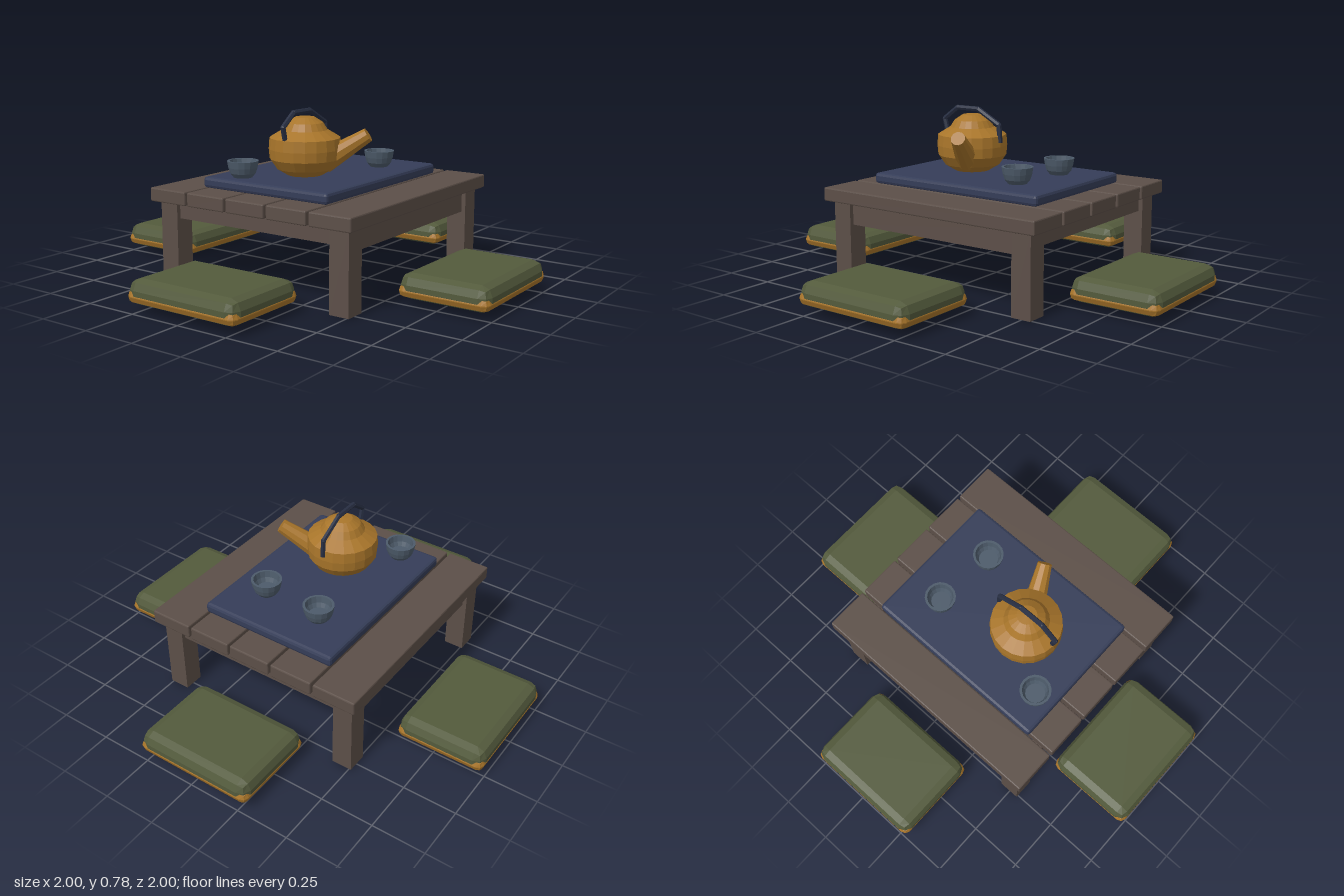
import * as THREE from 'three';
import { RoundedBoxGeometry } from 'three/addons/geometries/RoundedBoxGeometry.js';

const paint = (name, color) => Object.assign(new THREE.MeshStandardMaterial({ color }), { name });

// Split shared vertices so every facet stays crisp
function faceted(geometry) {
  const g = geometry.index ? geometry.toNonIndexed() : geometry;
  g.computeVertexNormals();
  return g;
}

function add(parent, name, geometry, material, x = 0, y = 0, z = 0) {
  const mesh = new THREE.Mesh(geometry, material);
  mesh.name = name;
  mesh.position.set(x, y, z);
  parent.add(mesh);
  return mesh;
}

const box = (w, h, d) => new THREE.BoxGeometry(w, h, d);
const chamferBox = (w, h, d, c) => faceted(new RoundedBoxGeometry(w, h, d, 1, c));
const lathe = (profile, sides) =>
  faceted(new THREE.LatheGeometry(profile.map(([r, y]) => new THREE.Vector2(r, y)), sides));

// Tapered rod between two points
function rod(parent, name, material, from, to, r0, r1, sides) {
  const a = new THREE.Vector3(...from), b = new THREE.Vector3(...to);
  const dir = b.clone().sub(a);
  const mesh = add(parent, name, faceted(new THREE.CylinderGeometry(r1, r0, dir.length(), sides)), material);
  mesh.position.copy(a).add(b).multiplyScalar(0.5);
  mesh.quaternion.setFromUnitVectors(new THREE.Vector3(0, 1, 0), dir.normalize());
}

function group(parent, name, x = 0, y = 0, z = 0) {
  const g = new THREE.Group();
  g.name = name;
  g.position.set(x, y, z);
  parent.add(g);
  return g;
}

export function createModel() {
  const wood = paint('dark wood', 0x5c4f48);
  const navy = paint('navy lacquer', 0x353d58);
  const iron = paint('dark handle', 0x272e42);
  const green = paint('olive fabric', 0x535a3c);
  const gold = paint('ochre', 0xa8752a);
  const clay = paint('blue grey clay', 0x4d5b6a);

  const model = new THREE.Group();
  model.name = 'teaTable';

  // Table: five planks, four legs, four aprons
  const table = group(model, 'table');
  for (let i = -2; i <= 2; i++) {
    add(table, 'plank', chamferBox(1.16, 0.063, 0.206, 0.006), wood, 0, 0.397, i * 0.219);
  }
  for (const s of [-1, 1]) {
    for (const t of [-1, 1]) add(table, 'leg', box(0.095, 0.367, 0.095), wood, s * 0.496, 0.1835, t * 0.462);
    add(table, 'longApron', box(0.9, 0.105, 0.055), wood, 0, 0.3145, s * 0.462);
    add(table, 'sideApron', box(0.055, 0.075, 0.83), wood, s * 0.496, 0.3295, 0);
  }

  // Tray
  add(model, 'tray', chamferBox(0.905, 0.05, 0.675, 0.014), navy, 0, 0.455, 0);

  // Cushions: one on each side, facing the table
  for (let i = 0; i < 4; i++) {
    const angle = i * Math.PI / 2;
    const cushion = group(model, 'cushion', 0.788 * Math.sin(angle), 0, 0.788 * Math.cos(angle));
    cushion.rotation.y = angle;
    add(cushion, 'pad', chamferBox(0.574, 0.115, 0.418, 0.046), green, 0, 0.0875, 0);
    add(cushion, 'piping', chamferBox(0.576, 0.062, 0.42, 0.029), gold, 0, 0.07, 0);
  }

  // Teapot
  const teapot = group(model, 'teapot', -0.14, 0, 0);
  add(teapot, 'pot', lathe([
    [0, 0.48], [0.08, 0.48], [0.13, 0.51], [0.16, 0.555], [0.164, 0.6], [0.16, 0.65],
    [0.102, 0.685], [0.082, 0.717], [0.045, 0.741], [0, 0.746],
  ], 20), gold);
  rod(teapot, 'spout', gold, [0.035, 0.54, 0.08], [0.12, 0.668, 0.26], 0.055, 0.033, 10);
  const arch = [[-0.145, 0.64], [-0.163, 0.71], [-0.085, 0.768], [0.035, 0.768], [0.155, 0.702], [0.16, 0.62]];
  for (let i = 0; i < arch.length - 1; i++) {
    rod(teapot, 'handle', iron, [...arch[i], 0], [...arch[i + 1], 0], 0.012, 0.012, 6);
  }
  for (const p of arch.slice(1, -1)) {
    add(teapot, 'handleJoint', faceted(new THREE.SphereGeometry(0.012, 6, 4)), iron, p[0], p[1], 0);
  }

  // Cups with hollow insides
  const cup = lathe([
    [0, 0], [0.042, 0], [0.058, 0.02], [0.066, 0.045], [0.071, 0.075],
    [0.06, 0.075], [0.055, 0.045], [0.045, 0.025], [0, 0.025],
  ], 16);
  for (const [x, z] of [[-0.357, -0.184], [0.254, -0.14], [0.232, 0.16]]) {
    add(model, 'cup', cup, clay, x, 0.48, z);
  }
  return model;
}
